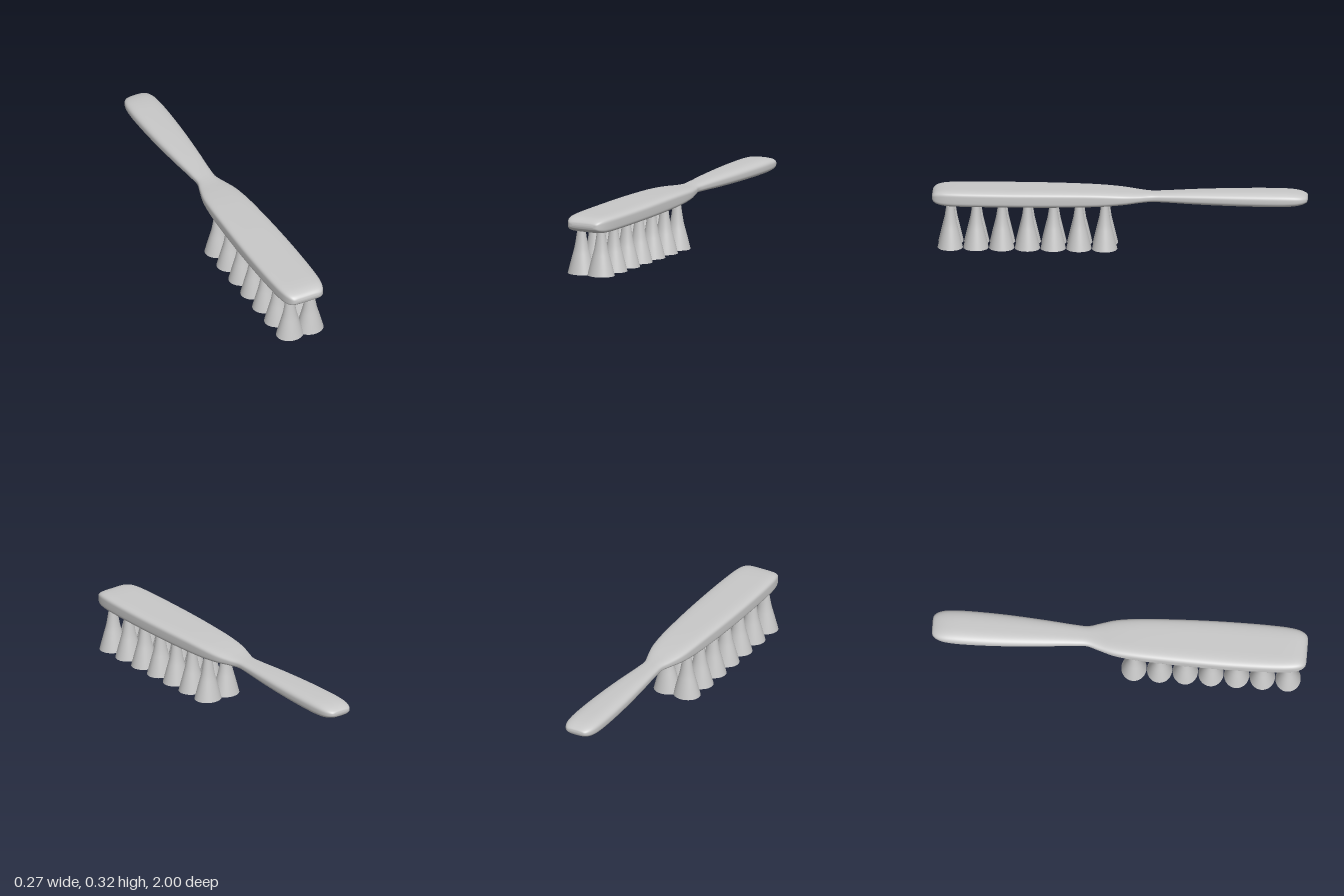
import * as THREE from 'three';

const grey = new THREE.MeshStandardMaterial({ color: 0xc8c8c8 });
grey.name = 'pale grey';

// Half width, half height and z along the handle, neck and head
const stations = [
  [0.03, 0.004, -1], [0.055, 0.016, -0.995], [0.073, 0.026, -0.975], [0.085, 0.034, -0.94],
  [0.091, 0.039, -0.88], [0.092, 0.04, -0.78], [0.086, 0.038, -0.6], [0.072, 0.033, -0.4],
  [0.058, 0.026, -0.24], [0.056, 0.024, -0.17], [0.074, 0.026, -0.11], [0.097, 0.033, -0.03],
  [0.11, 0.039, 0.07], [0.119, 0.043, 0.22], [0.126, 0.045, 0.4], [0.129, 0.045, 0.6],
  [0.126, 0.045, 0.8], [0.12, 0.044, 0.9], [0.111, 0.04, 0.95], [0.098, 0.031, 0.98],
  [0.083, 0.019, 0.995], [0.06, 0.005, 1],
].map(p => new THREE.Vector3(...p));

// Lofts rounded-box rings along z into one smooth closed body
function loft(points, centreY, rings = 120, sides = 64) {
  const curve = new THREE.CatmullRomCurve3(points);
  const pos = [], index = [];
  const power = (v, n) => Math.sign(v) * Math.abs(v) ** (2 / n);
  for (let i = 0; i <= rings; i++) {
    const { x: w, y: h, z } = curve.getPoint(i / rings);
    // the handle is rounder than the head
    const n = THREE.MathUtils.lerp(2.9, 4.6, THREE.MathUtils.smoothstep(z, -0.2, 0.2));
    for (let j = 0; j < sides; j++) {
      const a = (j / sides) * Math.PI * 2;
      pos.push(w * power(Math.cos(a), n), centreY + h * power(Math.sin(a), n), z);
      if (i === rings) continue;
      const k = (j + 1) % sides, p = i * sides, q = p + sides;
      index.push(p + j, p + k, q + k, p + j, q + k, q + j);
    }
  }
  // close both tips
  const last = rings * sides, c = pos.length / 3;
  pos.push(0, centreY, points[0].z, 0, centreY, points.at(-1).z);
  for (let j = 0; j < sides; j++) {
    const k = (j + 1) % sides;
    index.push(c, k, j, c + 1, last + j, last + k);
  }
  const g = new THREE.BufferGeometry();
  g.setAttribute('position', new THREE.Float32BufferAttribute(pos, 3));
  g.setIndex(index);
  g.computeVertexNormals();
  return g;
}

export function createModel() {
  const model = new THREE.Group();
  model.name = 'brush';

  const body = new THREE.Mesh(loft(stations, 0.276), grey);
  body.name = 'handleAndHead';
  model.add(body);

  // Flared wall of a bristle tuft
  const wall = new THREE.LatheGeometry(
    [[0.075, 0], [0.066, 0.035], [0.056, 0.073], [0.046, 0.11], [0.038, 0.14],
      [0.031, 0.18], [0.025, 0.22], [0.022, 0.25]].map(p => new THREE.Vector2(...p)), 40);

  // Concentric ridges under the tuft
  const ridge = [new THREE.Vector2(0, 0.01)];
  const count = 5;
  for (let i = 0; i < count; i++) {
    const inner = 0.075 * i / count, outer = 0.075 * (i + 1) / count;
    ridge.push(new THREE.Vector2(inner + 0.004, 0.01), new THREE.Vector2(inner + 0.005, 0),
      new THREE.Vector2(outer, 0));
    if (i < count - 1) ridge.push(new THREE.Vector2(outer + 0.001, 0.01));
  }
  const base = new THREE.LatheGeometry(ridge, 40).toNonIndexed();
  base.computeVertexNormals();

  // Two rows of seven tufts
  for (const side of [-1, 1]) {
    for (let i = 0; i < 7; i++) {
      const tuft = new THREE.Group();
      tuft.name = 'bristleTuft';
      const wallMesh = new THREE.Mesh(wall, grey);
      wallMesh.name = 'tuftWall';
      const baseMesh = new THREE.Mesh(base, grey);
      baseMesh.name = 'tuftEnd';
      tuft.add(wallMesh, baseMesh);
      tuft.position.set(side * 0.06, 0, 0.08 + i * 0.137);
      tuft.scale.z = 0.9;
      model.add(tuft);
    }
  }
  return model;
}
